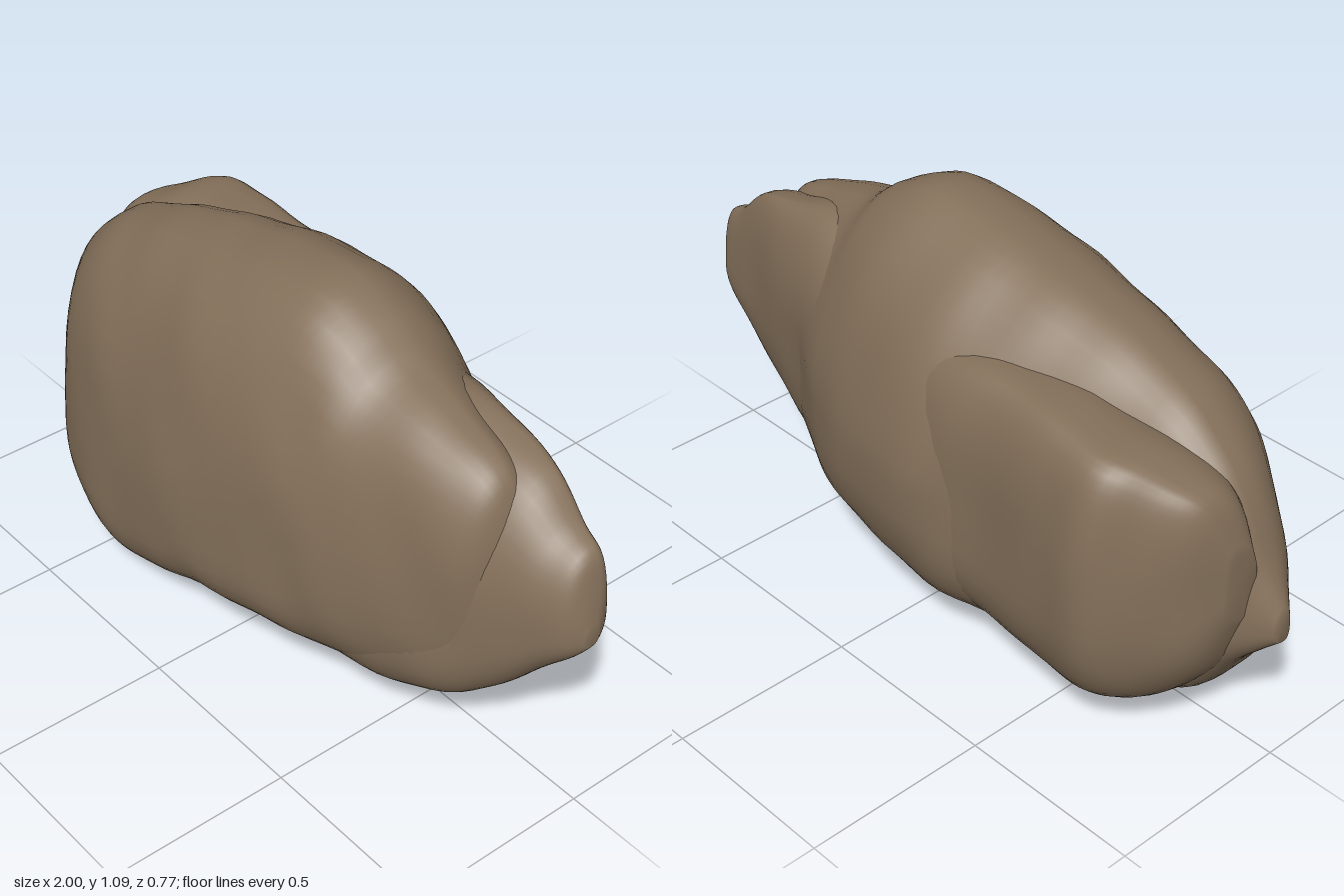
import * as THREE from 'three';

const AROUND = 48, STEPS = 5;

// Catmull-Rom blend of one column of the section table
function blend(rows, i, t, k) {
  const at = n => rows[Math.min(rows.length - 1, Math.max(0, n))][k];
  const [a, b, c, d] = [at(i - 1), at(i), at(i + 1), at(i + 2)];
  return b + 0.5 * t * (c - a + t * (2 * a - 5 * b + 4 * c - d + t * (3 * (b - c) + d - a)));
}

// gentle uneven weathering
function bump(x, y, z) {
  return 0.008 * Math.sin(9 * x + 5 * y + 1) * Math.sin(8 * y - 6 * z)
    + 0.005 * Math.sin(17 * x - 8 * z) * Math.sin(15 * y + 9 * x + 2);
}

// Section: x, topY, topZ, bottomY, bottomZ, frontZ, frontY, backZ, backY
// powers: roundness of the top-front, front-bottom, bottom-back, back-top corners
function rockMass(name, rows, powers, material) {
  const pos = [], index = [];
  const ring = s => {
    const [x, ty, tz, by, bz, fz, fy, kz, ky] = s;
    const ends = [[ty, tz], [fy, fz], [by, bz], [ky, kz]];
    for (let j = 0; j < AROUND; j++) {
      const q = Math.floor(j * 4 / AROUND);
      const a = (j * 4 / AROUND - q) * Math.PI / 2;
      const c = Math.pow(Math.cos(a), powers[q]), d = Math.pow(Math.sin(a), powers[q]);
      const A = ends[q], B = ends[(q + 1) % 4];
      // even quadrants leave a vertical extreme, odd ones a sideways extreme
      const y = q % 2 ? A[0] + (B[0] - A[0]) * d : B[0] + (A[0] - B[0]) * c;
      const z = q % 2 ? B[1] + (A[1] - B[1]) * c : A[1] + (B[1] - A[1]) * d;
      const n = bump(x, y, z);
      const my = (ty + by) / 2, mz = (fz + kz) / 2;
      const r = Math.hypot(y - my, z - mz) + 0.05;
      pos.push(x, Math.max(0, y + n * (y - my) / r), z + n * (z - mz) / r);
    }
  };
  let rings = 0;
  for (let i = 0; i < rows.length - 1; i++) {
    const last = i === rows.length - 2;
    for (let t = 0; t < STEPS + (last ? 1 : 0); t++) {
      ring(rows[0].map((_, k) => blend(rows, i, t / STEPS, k)));
      rings++;
    }
  }
  for (let i = 0; i < rings - 1; i++) {
    for (let j = 0; j < AROUND; j++) {
      const a = i * AROUND + j, b = i * AROUND + (j + 1) % AROUND;
      index.push(a, b, a + AROUND, b, b + AROUND, a + AROUND);
    }
  }
  // close both ends
  const addCap = (s, start, flip) => {
    const c = pos.length / 3;
    pos.push(s[0], (s[1] + s[3]) / 2, (s[5] + s[7]) / 2);
    for (let j = 0; j < AROUND; j++) {
      const a = start + j, b = start + (j + 1) % AROUND;
      index.push(c, flip ? b : a, flip ? a : b);
    }
  };
  addCap(rows[0], 0, true);
  addCap(rows[rows.length - 1], (rings - 1) * AROUND, false);

  const geo = new THREE.BufferGeometry();
  geo.setAttribute('position', new THREE.Float32BufferAttribute(pos, 3));
  geo.setIndex(index);
  geo.computeVertexNormals();
  const mesh = new THREE.Mesh(geo, material);
  mesh.name = name;
  return mesh;
}

export function createModel() {
  const group = new THREE.Group();
  group.name = 'boulder';
  const stone = new THREE.MeshStandardMaterial({ color: 0x84705a });
  stone.name = 'brown stone';

  // main mass with the broad front face
  group.add(rockMass('mainBoulder', [
    [-1.0, 0.43, 0.01, 0.34, 0.01, 0.03, 0.38, -0.02, 0.38],
    [-0.95, 0.53, 0.0, 0.29, 0.04, 0.08, 0.38, -0.06, 0.4],
    [-0.89, 0.67, -0.01, 0.23, 0.05, 0.14, 0.36, -0.11, 0.42],
    [-0.8, 0.79, -0.01, 0.1, 0.08, 0.21, 0.31, -0.17, 0.42],
    [-0.68, 0.88, 0.0, 0.055, 0.11, 0.295, 0.26, -0.22, 0.42],
    [-0.5, 0.945, 0.01, 0.005, 0.13, 0.355, 0.23, -0.27, 0.45],
    [-0.3, 1.01, 0.0, 0.025, 0.1, 0.372, 0.24, -0.33, 0.48],
    [-0.1, 1.06, 0.0, 0.065, 0.02, 0.377, 0.3, -0.385, 0.5],
    [0.15, 1.085, 0.0, 0.1, 0.0, 0.35, 0.36, -0.345, 0.48],
    [0.3, 1.04, 0.0, 0.105, 0.0, 0.32, 0.4, -0.3, 0.48],
    [0.4, 0.965, 0.0, 0.11, 0.0, 0.295, 0.42, -0.26, 0.5],
    [0.55, 0.925, 0.01, 0.14, 0.02, 0.245, 0.45, -0.18, 0.52],
    [0.68, 0.885, 0.02, 0.21, 0.03, 0.195, 0.5, -0.12, 0.55],
    [0.75, 0.83, 0.03, 0.3, 0.03, 0.15, 0.54, -0.07, 0.58],
    [0.79, 0.72, 0.03, 0.42, 0.03, 0.09, 0.56, -0.01, 0.58],
  ], [0.87, 0.72, 0.7, 1.1], stone));

  // rear shoulder with its ledge
  group.add(rockMass('rearShoulder', [
    [-0.94, 0.62, -0.1, 0.42, -0.06, -0.03, 0.52, -0.13, 0.52],
    [-0.89, 0.75, -0.15, 0.27, -0.04, 0.0, 0.47, -0.22, 0.48],
    [-0.8, 0.81, -0.2, 0.15, -0.02, 0.05, 0.45, -0.305, 0.47],
    [-0.7, 0.85, -0.25, 0.09, 0.0, 0.05, 0.45, -0.38, 0.47],
    [-0.55, 0.86, -0.24, 0.06, 0.0, 0.05, 0.45, -0.365, 0.46],
    [-0.35, 0.87, -0.22, 0.06, 0.0, 0.05, 0.45, -0.34, 0.46],
    [-0.15, 0.87, -0.19, 0.09, 0.0, 0.05, 0.45, -0.35, 0.48],
    [0.1, 0.82, -0.14, 0.14, 0.0, 0.05, 0.45, -0.3, 0.48],
    [0.3, 0.75, -0.1, 0.2, 0.0, 0.05, 0.45, -0.2, 0.48],
  ], [0.8, 0.8, 0.72, 0.7], stone));

  // thin tapering end, set back behind the main mass
  group.add(rockMass('taperedEnd', [
    [0.1, 0.8, -0.05, 0.13, 0.03, 0.28, 0.3, -0.27, 0.5],
    [0.3, 0.87, -0.05, 0.11, 0.03, 0.28, 0.3, -0.27, 0.5],
    [0.5, 0.91, -0.06, 0.115, 0.04, 0.245, 0.32, -0.205, 0.52],
    [0.65, 0.885, -0.08, 0.165, 0.04, 0.2, 0.36, -0.165, 0.54],
    [0.78, 0.84, -0.07, 0.25, 0.03, 0.14, 0.41, -0.125, 0.54],
    [0.88, 0.755, -0.06, 0.355, 0.01, 0.1, 0.47, -0.105, 0.55],
    [0.95, 0.72, -0.05, 0.43, 0.0, 0.065, 0.51, -0.09, 0.56],
    [0.98, 0.64, -0.04, 0.465, 0.0, 0.04, 0.52, -0.07, 0.55],
    [1.0, 0.54, -0.02, 0.49, 0.0, 0.01, 0.515, -0.03, 0.515],
  ], [0.95, 0.8, 0.85, 0.85], stone));

  return group;
}
